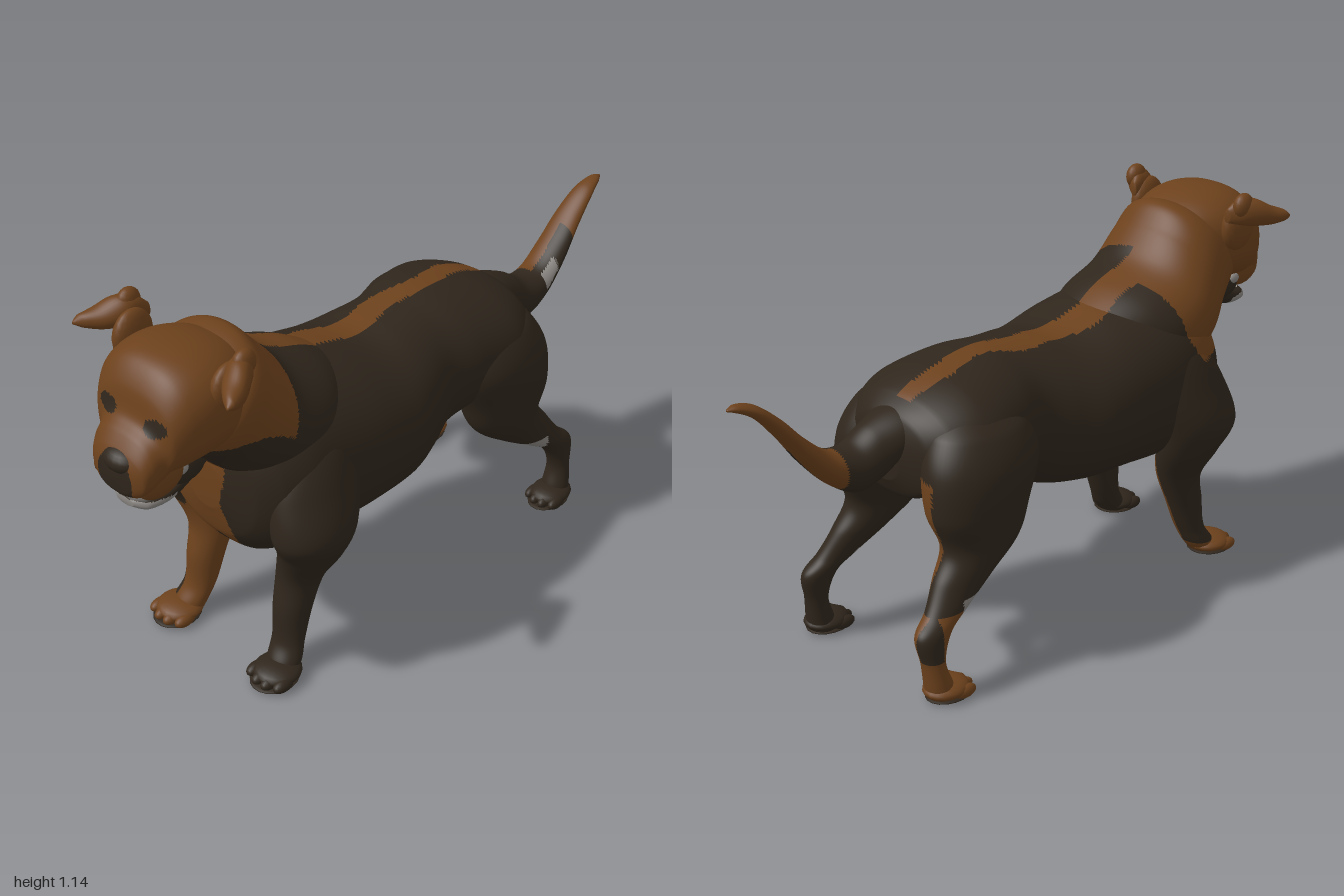
import * as THREE from 'three';

const mat = (name, color) => Object.assign(new THREE.MeshStandardMaterial({ color }), { name });
const coatMats = [mat('darkCoat', 0x2f261c), mat('tanCoat', 0x6c411c), mat('paleGrey', 0x8a8682)];
const [dark, tan, grey] = coatMats;
const pink = mat('tonguePink', 0xb8626c);
const ivory = mat('toothIvory', 0xd8d2c4);
const DARK = 0, TAN = 1, GREY = 2;

// Smooth skin through rows [x, y, z, halfWidth, halfDepth]; tilt turns the section plane
// (0 = upright sections running to +z, PI/2 = level sections running down).
function loft(rows, tilt = 0, power = 1, radial = 48, steps = 9) {
  const centre = new THREE.CatmullRomCurve3(rows.map(r => new THREE.Vector3(r[0], r[1], r[2])));
  const size = new THREE.CatmullRomCurve3(rows.map((r, i) => new THREE.Vector3(r[3], r[4], i * 0.1)));
  const n = (rows.length - 1) * steps, pos = [], idx = [];
  const c = Math.cos(tilt), s = Math.sin(tilt);
  const bend = v => Math.sign(v) * Math.pow(Math.abs(v), power);
  for (let i = 0; i <= n; i++) {
    const p = centre.getPoint(i / n), r = size.getPoint(i / n);
    for (let j = 0; j < radial; j++) {
      const a = (j / radial) * Math.PI * 2;
      const w = bend(Math.cos(a)) * Math.max(r.x, 0.001), d = bend(Math.sin(a)) * Math.max(r.y, 0.001);
      pos.push(p.x + w, p.y + d * c, p.z + d * s);
      if (i < n) {
        const k = i * radial + j, q = i * radial + (j + 1) % radial;
        idx.push(k, q, k + radial, q, q + radial, k + radial);
      }
    }
  }
  // close both ends
  const first = pos.length / 3, end = n * radial;
  for (const t of [0, 1]) pos.push(...centre.getPoint(t).toArray());
  for (let j = 0; j < radial; j++) {
    const q = (j + 1) % radial;
    idx.push(first, q, j, first + 1, end + j, end + q);
  }
  const g = new THREE.BufferGeometry();
  g.setAttribute('position', new THREE.Float32BufferAttribute(pos, 3));
  g.setIndex(idx);
  g.computeVertexNormals();
  return g;
}

// Sort faces into coat colours by a rule on the face centre.
function paint(g, rule) {
  const p = g.attributes.position, old = g.index.array, bins = [[], [], []];
  for (let i = 0; i < old.length; i += 3) {
    const f = [old[i], old[i + 1], old[i + 2]];
    const mid = get => (get(f[0]) + get(f[1]) + get(f[2])) / 3;
    bins[rule(mid(k => p.getX(k)), mid(k => p.getY(k)), mid(k => p.getZ(k)))].push(...f);
  }
  g.setIndex(bins.flat());
  let start = 0;
  bins.forEach((b, m) => {
    if (b.length) g.addGroup(start, b.length, m);
    start += b.length;
  });
  return g;
}

const inSpot = (x, y, cx, cy, rx, ry) => Math.hypot((x - cx) / rx, (y - cy) / ry) < 1;

// Coat pattern of trunk and neck
function coat(x, y, z) {
  const wave = 0.012 * Math.sin(z * 23) + 0.008 * Math.sin(y * 31);
  const chestEdge = -0.195 + 0.05 * Math.exp(-(((y - 0.46) / 0.05) ** 2)) + wave;
  if (z > 0.4 && (inSpot(x, y, -0.07, 0.39, 0.028, 0.036) || inSpot(x, y, 0.01, 0.385, 0.032, 0.04))) return DARK;
  if (z > 0.6 && inSpot(x, y, -0.09, 0.715, 0.05, 0.032)) return DARK;
  if (x < 0.02 && y > 0.69 && z > 0.38 + (0.9 - y) * 0.5 + wave) return TAN;
  if (x >= 0.02 && y > 0.81 + (z - 0.55) * 0.2 + wave && z > 0.47 + (0.97 - y) * 0.4) return TAN;
  if (z > 0.42 && y < 0.85 && x > chestEdge && x < 0.055 + wave) return TAN;
  if (y > 0.7 && z > -0.46 && z < 0.5 && x > -0.068 - z * 0.07 + wave && x < 0.022 + wave * 0.6) return TAN;
  return DARK;
}

function headCoat(x, y, z) {
  if (z > 0.8 && [-0.06, 0.115].some(ex => inSpot(x, y, ex, 0.97, 0.036, 0.023))) return DARK;
  if (z > 0.92 && inSpot(x, y, 0.042, 0.83, 0.062, 0.075)) return DARK;
  return y < 0.82 && z < 0.88 && x > 0.02 ? DARK : TAN;
}

export function createModel() {
  const dog = new THREE.Group();
  dog.name = 'dog';
  const add = (name, geometry, material, parent = dog) => {
    const m = new THREE.Mesh(geometry, material);
    m.name = name;
    parent.add(m);
    return m;
  };
  const blob = (name, [x, y, z], [a, b, c], material, parent) =>
    add(name, new THREE.SphereGeometry(1, 18, 12).scale(a, b, c).translate(x, y, z), material, parent);

  // Trunk and neck
  add('trunk', paint(loft([
    [0.01, 0.62, -0.53, 0.06, 0.06], [0.01, 0.625, -0.5, 0.16, 0.12], [0.01, 0.64, -0.45, 0.22, 0.145],
    [0.01, 0.642, -0.35, 0.265, 0.182], [0.015, 0.648, -0.2, 0.24, 0.197], [0.015, 0.63, -0.1, 0.22, 0.21],
    [0.015, 0.605, 0, 0.25, 0.225], [0.012, 0.593, 0.1, 0.282, 0.229], [0.01, 0.606, 0.25, 0.288, 0.253],
    [0, 0.615, 0.4, 0.28, 0.273], [0, 0.615, 0.5, 0.268, 0.262], [0, 0.605, 0.58, 0.232, 0.23],
    [0, 0.605, 0.63, 0.17, 0.165], [0, 0.605, 0.655, 0.06, 0.07]], 0, 0.92, 128, 10), coat), coatMats);
  add('neck', paint(loft([
    [0, 0.68, 0.3, 0.18, 0.18], [0, 0.74, 0.42, 0.235, 0.19], [0, 0.81, 0.54, 0.23, 0.172],
    [0.01, 0.89, 0.617, 0.208, 0.172], [0.02, 0.945, 0.685, 0.187, 0.178], [0.02, 0.97, 0.76, 0.14, 0.12]],
    -0.64, 0.95, 112, 16), coat), coatMats);
  blob('bellySheath', [0.01, 0.425, -0.1], [0.03, 0.032, 0.065], dark);

  // Tail, held back and up
  const tailCoat = (x, y, z) => {
    if (z > -0.75 && z < -0.69 && x > 0.065 && y > 0.66 - (z + 0.72) * 0.9) return GREY;
    return z < -0.82 || (z < -0.68 && x < 0.035) ? TAN : DARK;
  };
  add('tail', paint(loft([
    [0.01, 0.71, -0.42, 0.1, 0.06], [0.015, 0.685, -0.5, 0.09, 0.068], [0.02, 0.645, -0.57, 0.077, 0.08],
    [0.025, 0.62, -0.63, 0.07, 0.07], [0.03, 0.642, -0.7, 0.063, 0.052], [0.033, 0.715, -0.78, 0.056, 0.042],
    [0.036, 0.8, -0.85, 0.046, 0.032], [0.04, 0.868, -0.92, 0.034, 0.02], [0.04, 0.893, -0.975, 0.018, 0.011],
    [0.04, 0.895, -1, 0.004, 0.003]], Math.PI), tailCoat), coatMats);

  // Head
  const head = new THREE.Group();
  head.name = 'head';
  dog.add(head);
  add('skullAndMuzzle', paint(loft([
    [0.02, 0.98, 0.56, 0.04, 0.04], [0.02, 0.975, 0.62, 0.14, 0.105], [0.02, 0.965, 0.7, 0.183, 0.142],
    [0.02, 0.963, 0.78, 0.187, 0.148], [0.02, 0.95, 0.845, 0.172, 0.143], [0.025, 0.925, 0.888, 0.147, 0.117],
    [0.032, 0.88, 0.912, 0.12, 0.09], [0.036, 0.858, 0.945, 0.11, 0.082], [0.04, 0.843, 0.97, 0.095, 0.066],
    [0.04, 0.835, 0.985, 0.06, 0.045], [0.04, 0.835, 0.989, 0.01, 0.01]], 0, 0.84, 72, 10), headCoat), coatMats);
  blob('nose', [0.046, 0.877, 0.952], [0.06, 0.036, 0.048], dark, head);
  for (const s of [-1, 1]) {
    blob('lip', [0.035 + s * 0.08, 0.82, 0.9], [0.028, 0.055, 0.075], tan, head);
    blob('mouthCorner', [0.02 + s * 0.075, 0.79, 0.8], [0.03, 0.042, 0.065], dark, head);
    blob('mouthCornerSpot', [0.02 + s * 0.095, 0.81, 0.83], [0.014, 0.017, 0.022], grey, head);
    blob('brow', [0.028 + s * 0.085, 1.01, 0.862], [0.05, 0.02, 0.025], tan, head);
    blob('eye', [0.028 + s * 0.088, 0.97, 0.874], [0.024, 0.015, 0.02], dark, head);
    // Folded ear: a hanging lobe, an upright fold and an outward flap
    blob('earLobe', [0.005 + s * 0.18, 1.03, 0.715], [0.033, 0.075, 0.065], tan, head);
    blob('earFold', [s * 0.212, 1.105, 0.69], [0.026, 0.038, 0.036], tan, head);
    add('earFlap', loft([
      [s * 0.185, 1.075, 0.65, 0.01, 0.02], [s * 0.205, 1.085, 0.68, 0.03, 0.038],
      [s * 0.222, 1.082, 0.72, 0.043, 0.043], [s * 0.248, 1.07, 0.765, 0.038, 0.03],
      [s * 0.272, 1.067, 0.8, 0.022, 0.018], [s * 0.284, 1.064, 0.818, 0.004, 0.004]], 0, 1, 28), tan, head);
  }

  // Open mouth
  add('lowerJaw', paint(loft([
    [0.02, 0.79, 0.7, 0.07, 0.05], [0.02, 0.768, 0.78, 0.088, 0.045], [0.022, 0.735, 0.86, 0.085, 0.033],
    [0.022, 0.727, 0.92, 0.068, 0.025], [0.022, 0.727, 0.945, 0.03, 0.012]], 0, 0.9),
  (x, y, z) => (z > 0.84 && y < 0.737 ? GREY : DARK)), coatMats, head);
  blob('tongue', [0.028, 0.764, 0.895], [0.048, 0.02, 0.05], pink, head);
  for (let i = 0; i < 11; i++) {
    const a = Math.PI * (i / 10), long = i === 2 || i === 8 ? 0.03 : 0.015;
    const x = 0.024 + Math.cos(a) * 0.06, z = 0.865 + Math.sin(a) * 0.067;
    add('lowerTooth', new THREE.ConeGeometry(0.007, long, 8).translate(x, 0.747 + long / 2, z), ivory, head);
    add('upperTooth', new THREE.ConeGeometry(0.007, long, 8).rotateX(Math.PI)
      .translate(x + 0.01, 0.785 - long / 2, z + 0.02), ivory, head);
  }

  // Legs and paws
  const paw = (name, x, z, w, material) => {
    const g = new THREE.Group();
    g.name = name;
    dog.add(g);
    blob('instep', [x, 0.03, z], [w, 0.026, 0.07], material, g);
    blob('sole', [x, 0.008, z + 0.012], [w * 0.95, 0.008, 0.075], dark, g);
    for (let i = 0; i < 4; i++) {
      const k = i - 1.5, reach = 0.052 - Math.abs(k) * 0.014;
      blob('toe', [x + k * w * 0.5, 0.022, z + reach], [w * 0.29, 0.019, 0.036], material, g);
    }
  };
  const foreCoat = (x, y, z) => {
    if (y > 0.385) return coat(x, y, z);
    return x < 0 && (y < 0.05 || x + 0.195 + (z - 0.565 + 0.23 * y) * 0.55 > 0) ? TAN : DARK;
  };
  const hindCoat = (x, y, z) => {
    if (y > 0.235 && y < 0.28 && z > -0.5 && (x > 0.18 || x < -0.25)) return GREY;
    if (x > 0 || y > 0.6) return DARK;
    if (y < 0.25 && (x > -0.24 || z > -0.58)) return TAN;
    return y < 0.13 || (x > -0.19 && z < -0.3) ? TAN : DARK;
  };
  for (const s of [-1, 1]) {
    const side = s < 0 ? tan : dark;
    add('frontLeg', paint(loft([
      [s * 0.15, 0.79, 0.4, 0.03, 0.05], [s * 0.175, 0.73, 0.42, 0.08, 0.11], [s * 0.2, 0.62, 0.45, 0.105, 0.145],
      [s * 0.238, 0.49, 0.485, 0.103, 0.132], [s * 0.215, 0.4, 0.475, 0.09, 0.1], [s * 0.178, 0.3, 0.482, 0.068, 0.07],
      [s * 0.175, 0.2, 0.512, 0.056, 0.058], [s * 0.18, 0.1, 0.538, 0.05, 0.043], [s * 0.19, 0.05, 0.565, 0.052, 0.046],
      [s * 0.195, 0.015, 0.585, 0.05, 0.04]], Math.PI / 2, 1, 60), foreCoat), coatMats);
    paw('frontPaw', s * 0.2, 0.605, 0.07, side);
    add('hindLeg', paint(loft([
      [s * 0.13, 0.77, -0.33, 0.04, 0.06], [s * 0.15, 0.71, -0.33, 0.11, 0.15], [s * 0.175, 0.62, -0.34, 0.127, 0.185],
      [s * 0.19, 0.5, -0.365, 0.112, 0.165], [s * 0.2, 0.4, -0.368, 0.085, 0.128], [s * 0.212, 0.32, -0.442, 0.062, 0.102],
      [s * 0.23, 0.25, -0.522, 0.046, 0.07], [s * 0.242, 0.2, -0.583, 0.04, 0.058], [s * 0.25, 0.12, -0.593, 0.036, 0.034],
      [s * 0.255, 0.05, -0.58, 0.043, 0.04], [s * 0.255, 0.015, -0.575, 0.045, 0.04]], Math.PI / 2, 1, 60), hindCoat), coatMats);
    paw('hindPaw', s * 0.258, -0.555, 0.06, side);
  }
  return dog;
}
